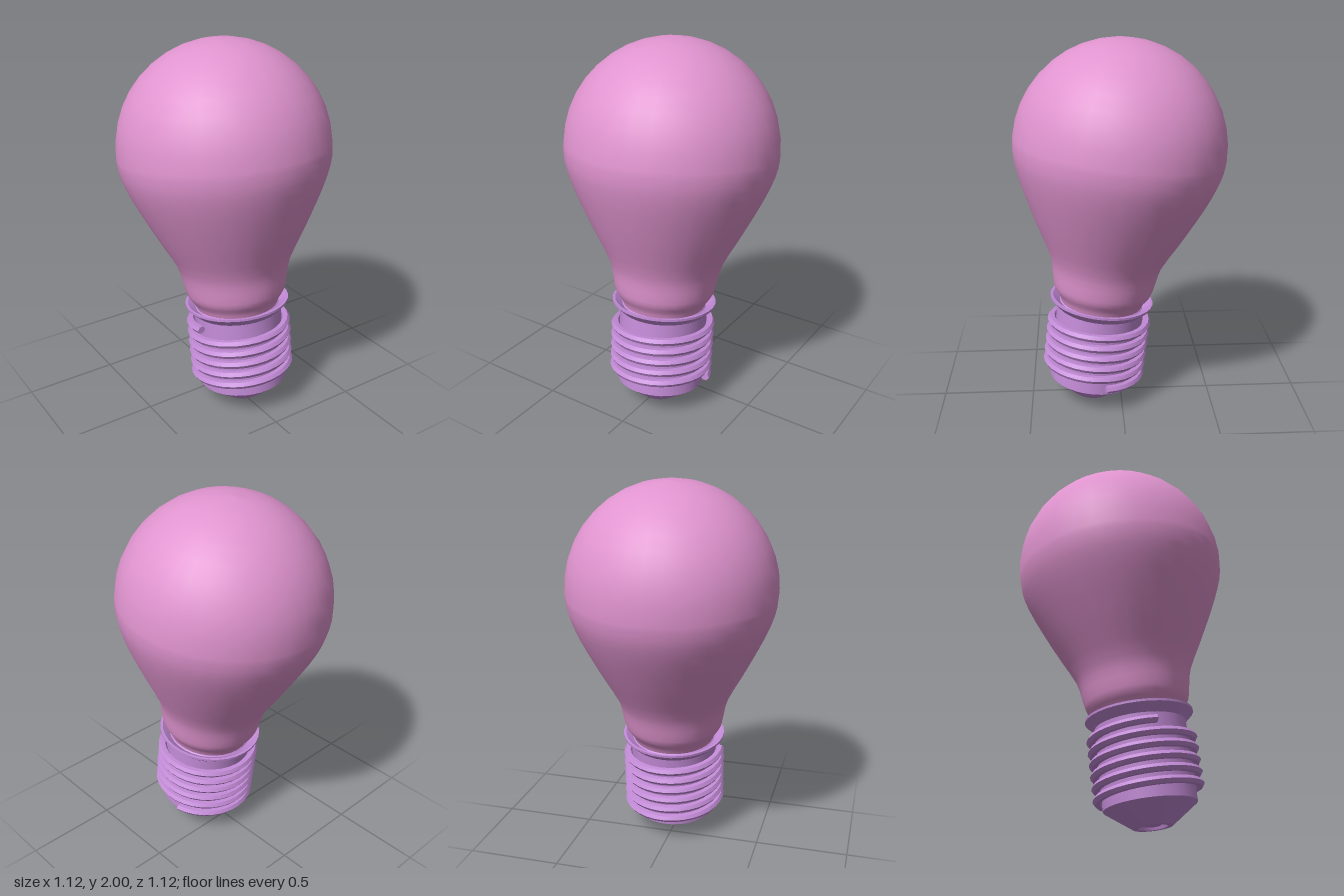
import * as THREE from 'three';
import { toCreasedNormals } from 'three/addons/utils/BufferGeometryUtils.js';

const SEGMENTS = 32;
const glassMaterial = new THREE.MeshStandardMaterial({ color: 0xe094cf });
const metalMaterial = new THREE.MeshStandardMaterial({ color: 0xc48cd8 });

const toPoints = (pairs) => pairs.map(([r, y]) => new THREE.Vector2(r, y));

function addMesh(parent, name, geometry, material) {
  const mesh = new THREE.Mesh(geometry, material);
  mesh.name = name;
  parent.add(mesh);
}

const turnedMetal = (pairs) =>
  toCreasedNormals(new THREE.LatheGeometry(toPoints(pairs), SEGMENTS), 0.5);

// Helical ridge: a hexagonal section swept around the shell, closed at both ends
function threadGeometry({ radius, start, pitch, from, turns, size }) {
  const steps = Math.round(turns * SEGMENTS);
  const sides = 6;
  const geometry = new THREE.PlaneGeometry(1, 1, steps + 2, sides);
  const pos = geometry.attributes.position;
  for (let j = 0, k = 0; j <= sides; j++) {
    for (let i = 0; i <= steps + 2; i++, k++) {
      const t = THREE.MathUtils.clamp(i - 1, 0, steps) / steps;
      const turn = from + t * (turns - from);
      const angle = turn * Math.PI * 2;
      const phi = -(j / sides) * Math.PI * 2;
      const s = i === 0 || i === steps + 2 ? 0 : size;
      const r = radius + 1.15 * s * Math.cos(phi);
      pos.setXYZ(k, r * Math.cos(angle), start + pitch * turn + s * Math.sin(phi), -r * Math.sin(angle));
    }
  }
  geometry.deleteAttribute('uv');
  return toCreasedNormals(geometry, 0.7);
}

export function createModel() {
  const model = new THREE.Group();
  model.name = 'lightBulb';

  // The whole bulb leans slightly backwards
  const bulb = new THREE.Group();
  bulb.name = 'leaningBulb';
  bulb.position.set(0.02, 0.018, 0.172);
  bulb.quaternion.setFromUnitVectors(
    new THREE.Vector3(0, 1, 0),
    new THREE.Vector3(-0.0185, 1, -0.119).normalize()
  );
  model.add(bulb);

  // Glass envelope: neck curve, then a round head
  const headY = 1.435, headR = 0.56;
  const profile = new THREE.SplineCurve(toPoints([
    [0.22, 0.54], [0.235, 0.585], [0.268, 0.635], [0.283, 0.7], [0.308, 0.81],
    [0.405, 1.0], [0.5, 1.2], [0.55, 1.34], [headR, headY],
  ])).getPoints(20);
  for (let i = 1; i <= 10; i++) {
    const a = (i / 10) * Math.PI / 2;
    profile.push(new THREE.Vector2(i === 10 ? 0 : headR * Math.cos(a), headY + headR * Math.sin(a)));
  }
  addMesh(bulb, 'glassEnvelope', new THREE.LatheGeometry(profile, SEGMENTS), glassMaterial);

  // Base shell with sloping underside and ringed contact
  addMesh(bulb, 'baseShell', turnedMetal([
    [0, 0.008], [0.04, 0.008], [0.055, 0.02], [0.07, 0.02], [0.075, 0.0], [0.1, 0.0],
    [0.125, 0.018], [0.24, 0.102], [0.24, 0.54], [0.22, 0.56],
  ]), metalMaterial);

  // Flared collar around the neck
  addMesh(bulb, 'collar', turnedMetal([
    [0.238, 0.522], [0.284, 0.566], [0.284, 0.578], [0.27, 0.578], [0.228, 0.548],
  ]), metalMaterial);

  // Screw thread
  addMesh(bulb, 'screwThread', threadGeometry({
    radius: 0.262, start: 0.143, pitch: 0.061, from: 0.04, turns: 5.52, size: 0.021,
  }), metalMaterial);

  return model;
}
